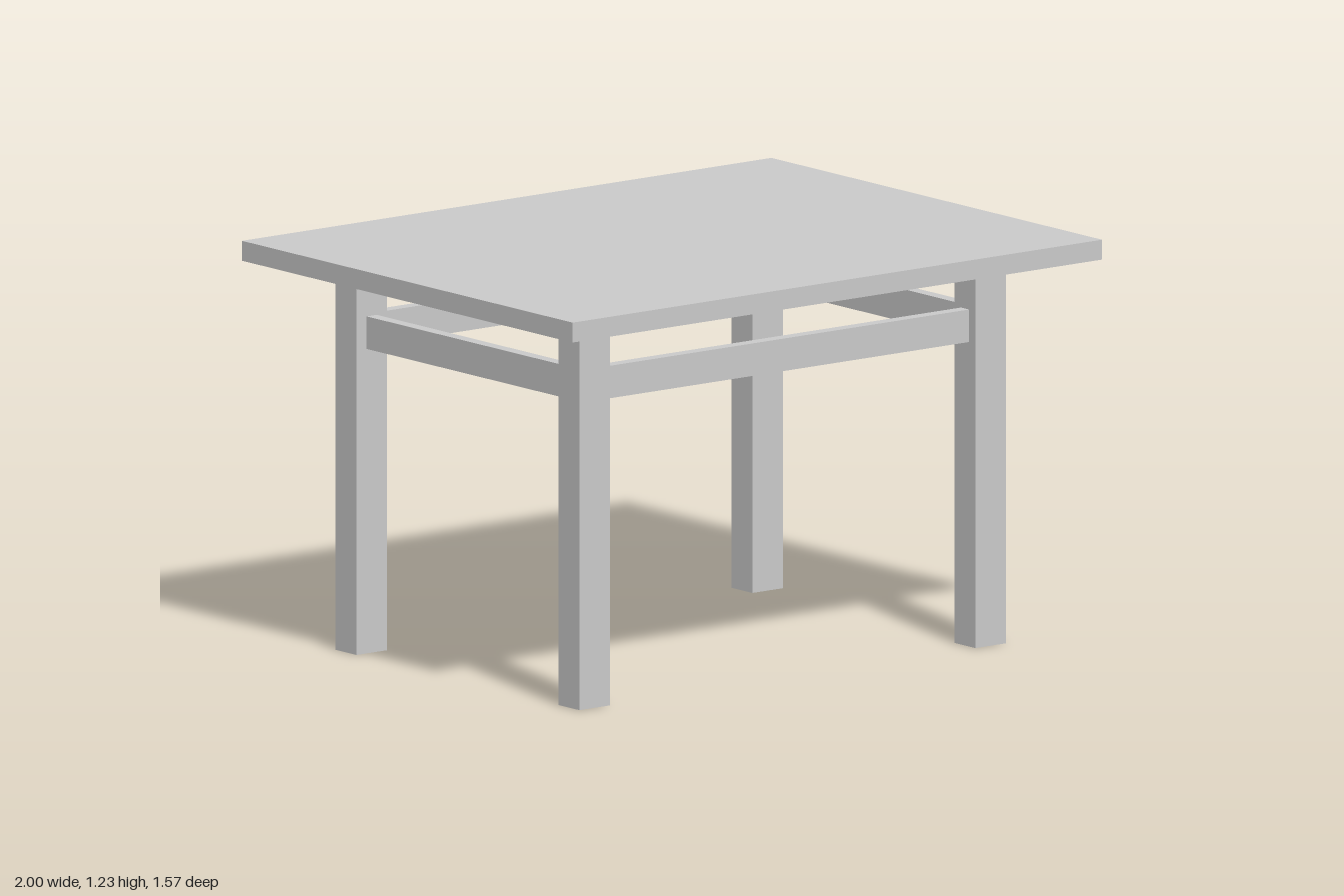
import * as THREE from 'three';

export function createModel() {
  const table = new THREE.Group();
  table.name = 'table';
  const material = new THREE.MeshStandardMaterial({ color: 0xcccccc, flatShading: true });

  const addBox = (name, size, position) => {
    const mesh = new THREE.Mesh(new THREE.BoxGeometry(...size), material);
    mesh.name = name;
    mesh.position.set(...position);
    table.add(mesh);
  };

  const topBase = 1.166, topThick = 0.06;
  const legW = 0.115, legD = 0.099;
  const legX = 0.748, frontZ = 0.523, backZ = -0.535;
  const railH = 0.098, railThick = 0.038, railY = 0.967;

  // Table top
  addBox('tableTop', [2, topThick, 1.57], [0, topBase + topThick / 2, 0]);

  // Legs, and the long rails between them
  for (const [end, z] of [['front', frontZ], ['back', backZ]]) {
    for (const [side, x] of [['Left', legX], ['Right', -legX]]) {
      addBox(`${end}${side}Leg`, [legW, topBase, legD], [x, topBase / 2, z]);
    }
    addBox(`${end}Rail`, [2 * legX - legW, railH, railThick], [0, railY, z]);
  }

  // Short side rails
  for (const [side, x] of [['left', legX], ['right', -legX]]) {
    addBox(`${side}Rail`, [railThick, railH, frontZ - backZ - legD], [x, railY, (frontZ + backZ) / 2]);
  }

  return table;
}
